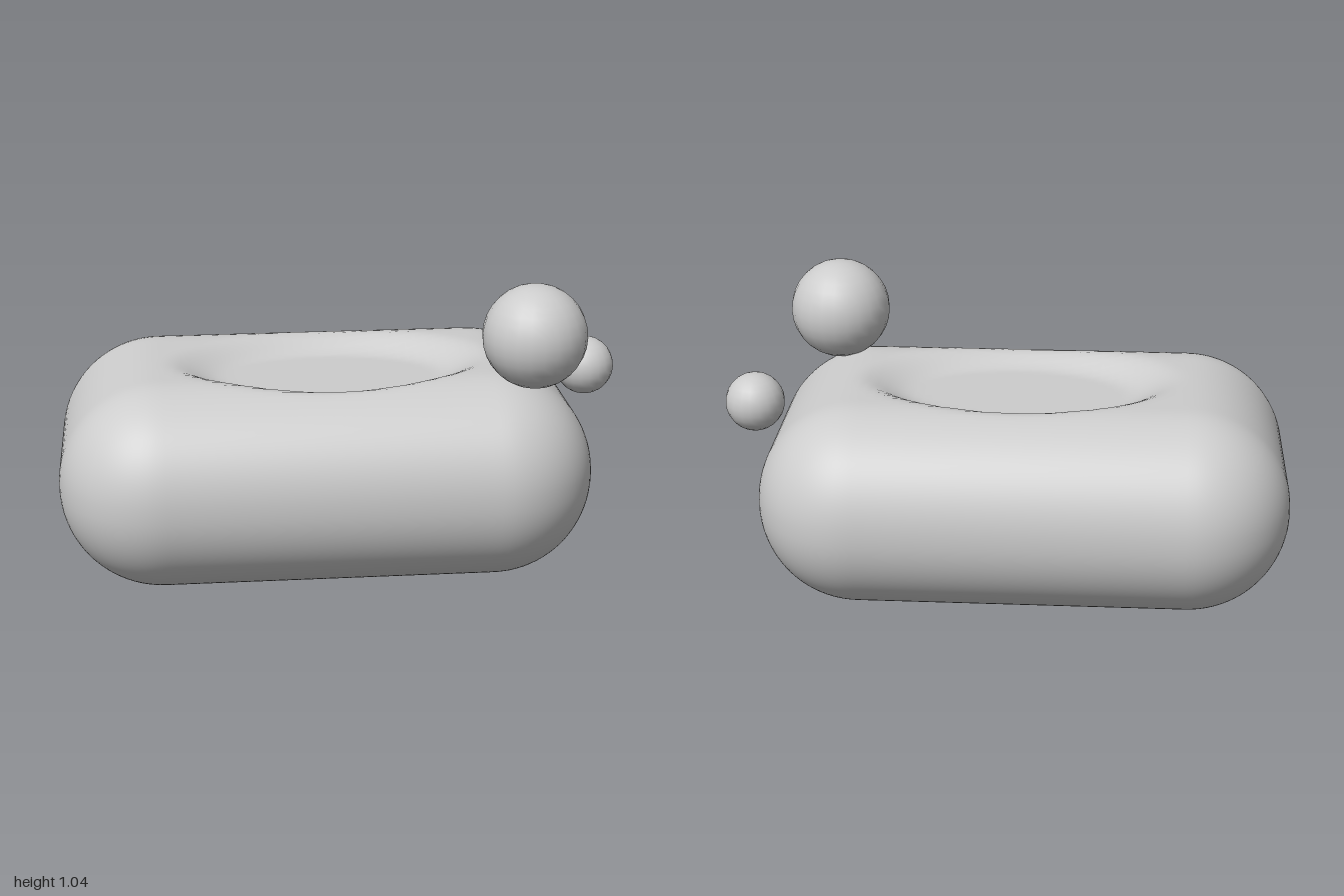
import * as THREE from 'three';
import { mergeVertices } from 'three/addons/utils/BufferGeometryUtils.js';

const { clamp, smoothstep } = THREE.MathUtils;

// Fully rounded bar with a shallow oval dish pressed into its top
function soapGeometry(w, h, d, r) {
  const geo = new THREE.BoxGeometry(w, h, d, 56, 24, 40);
  geo.deleteAttribute('uv');
  geo.deleteAttribute('normal');
  const pos = geo.attributes.position;
  const p = new THREE.Vector3();
  const core = new THREE.Vector3();
  for (let i = 0; i < pos.count; i++) {
    p.fromBufferAttribute(pos, i);
    core.set(
      clamp(p.x, -w / 2 + r, w / 2 - r),
      clamp(p.y, -h / 2 + r, h / 2 - r),
      clamp(p.z, -d / 2 + r, d / 2 - r)
    );
    p.sub(core).setLength(r).add(core);
    if (p.y > 0) {
      const e = Math.hypot((p.x - 0.03) / 0.58, (p.z - 0.03) / 0.35);
      p.y -= 0.065 * (1 - smoothstep(e, 0.65, 1.0));
    }
    pos.setXYZ(i, p.x, p.y, p.z);
  }
  const merged = mergeVertices(geo, 1e-4);
  merged.computeVertexNormals();
  return merged;
}

export function createModel() {
  const group = new THREE.Group();
  const grey = new THREE.MeshStandardMaterial({ color: 0xcccccc });
  grey.name = 'light grey';

  const add = (name, geometry, x, y, z) => {
    const mesh = new THREE.Mesh(geometry, grey);
    mesh.name = name;
    mesh.position.set(x, y, z);
    group.add(mesh);
  };

  // Soap bar
  add('soapBar', soapGeometry(1.85, 0.72, 1.21, 0.355), -0.075, 0.365, 0);

  // Bubbles resting by the corner and the end
  add('largeBubble', new THREE.SphereGeometry(0.18, 24, 16), 0.63, 0.87, 0.32);
  add('smallBubble', new THREE.SphereGeometry(0.105, 20, 14), 0.89, 0.643, -0.06);

  return group;
}
